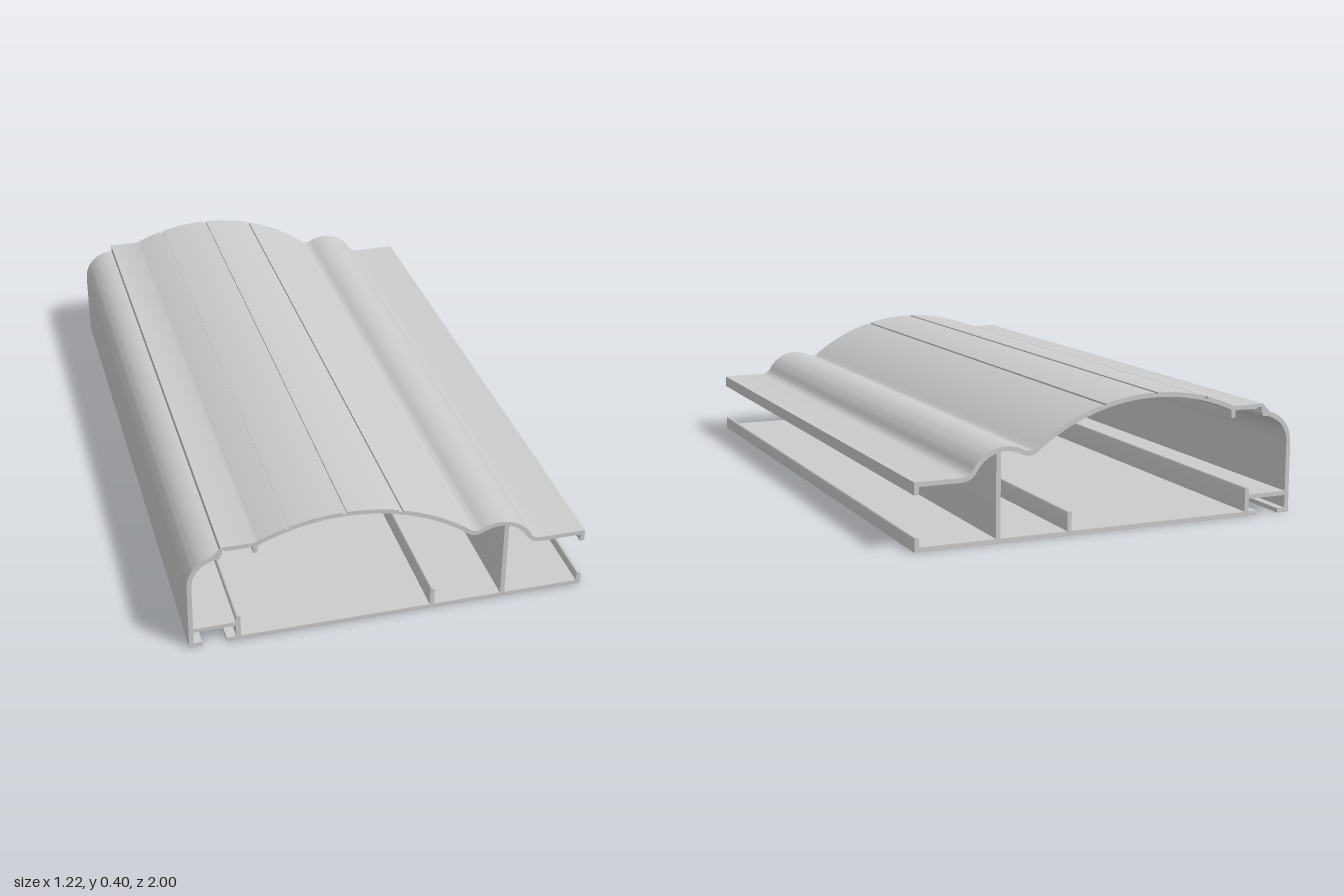
import * as THREE from 'three';
import { toCreasedNormals } from 'three/addons/utils/BufferGeometryUtils.js';

const LENGTH = 2, WALL = 0.014;
const V = (x, y) => new THREE.Vector2(x, y);
const material = new THREE.MeshStandardMaterial({ color: 0xcccccc });

// Extrudes a cross-section along the full length, keeping edges sharp and curves smooth
function profile(name, shape) {
  const flat = new THREE.ExtrudeGeometry(shape, { depth: LENGTH, bevelEnabled: false, curveSegments: 10 });
  flat.translate(0, 0, -LENGTH / 2);
  const mesh = new THREE.Mesh(toCreasedNormals(flat, 0.5), material);
  mesh.name = name;
  return mesh;
}

// Points on a circle between two angles, measured from straight up towards +x
function arc(cx, cy, r, a0, a1, n) {
  return Array.from({ length: n + 1 }, (_, i) => {
    const a = a0 + (a1 - a0) * i / n;
    return V(cx + r * Math.sin(a), cy + r * Math.cos(a));
  });
}

const fillet = (a, c, b) => new THREE.QuadraticBezierCurve(a, c, b).getPoints(8).slice(1, -1);

// Offsets an open path to its left with mitred corners
function offset(path, t) {
  return path.map((p, i) => {
    const a = path[Math.max(i - 1, 0)], b = path[Math.min(i + 1, path.length - 1)];
    const d0 = (i ? p.clone().sub(a) : b.clone().sub(p)).normalize();
    const d1 = (i < path.length - 1 ? b.clone().sub(p) : p.clone().sub(a)).normalize();
    const n = V(-d0.y - d1.y, d0.x + d1.x).normalize();
    return p.clone().addScaledVector(n, t / (n.x * -d0.y + n.y * d0.x));
  });
}

// Upright rib with a rounded top
function rib(name, x, y0, y1) {
  const r = WALL / 2, s = new THREE.Shape();
  s.moveTo(x - r, y0);
  s.lineTo(x + r, y0);
  s.lineTo(x + r, y1 - r);
  s.absarc(x, y1 - r, r, 0, Math.PI, false);
  s.closePath();
  return profile(name, s);
}

function bar(name, x0, x1, y0, y1) {
  return profile(name, new THREE.Shape([V(x0, y0), V(x1, y0), V(x1, y1), V(x0, y1)]));
}

export function createModel() {
  const group = new THREE.Group();
  group.name = 'extrudedProfile';

  // Outer line of the curved cover, from the +x lip over the top to the -x foot
  const R = 0.631, cx = -0.145, cy = 0.4 - R;
  const small = arc(0.333, 0.164, 0.115, Math.asin(0.1 / 0.115), -Math.asin(0.053 / 0.115), 20);
  const aStart = Math.asin(0.39 / R), aEnd = -Math.asin(0.265 / R);
  const dome = arc(cx, cy, R, aStart, aEnd, 48);
  const before = [
    V(0.61, 0.163), V(0.61, 0.2), V(0.469, 0.2),
    ...fillet(V(0.469, 0.2), V(0.445, 0.2), small[0]),
    ...small,
    ...fillet(small[20], V(0.258, 0.2546), dome[0]),
  ];
  const after = [
    V(-0.51, 0.342), V(-0.51, 0.318), V(-0.505, 0.318),
    ...arc(-0.512, 0.218, 0.1, 0, -Math.PI / 2, 16),
    V(-0.612, 0), V(-0.573, 0),
  ];

  // Three shallow grooves cut along the dome
  const grooved = [];
  let from = aStart;
  for (const gx of [0.025, -0.145, -0.315]) {
    const a = Math.asin((gx - cx) / R), h = 0.006 / R;
    grooved.push(...arc(cx, cy, R, from, a + h, 16), ...arc(cx, cy, R - 0.006, a + h, a - h, 1));
    from = a - h;
  }
  grooved.push(...arc(cx, cy, R, from, aEnd, 8));

  const inner = offset([...before, ...dome, ...after], WALL);
  group.add(profile('cover', new THREE.Shape([...before, ...grooved, ...after, ...inner.reverse()])));

  // Floor plate, side shelf and the hook under the cover
  group.add(bar('floor', -0.5, 0.61, 0, WALL));
  group.add(bar('sideShelf', -0.605, -0.463, 0.053, 0.066));
  group.add(bar('coverHook', -0.415, -0.402, 0.306, 0.338));

  // Ribs standing on the floor
  group.add(rib('shelfRib', -0.464, 0.005, 0.088));
  group.add(rib('middleRib', 0.132, 0.005, 0.072));
  group.add(rib('supportWeb', 0.356, 0.005, 0.274));
  group.add(rib('floorLip', 0.603, 0, 0.042));
  return group;
}
